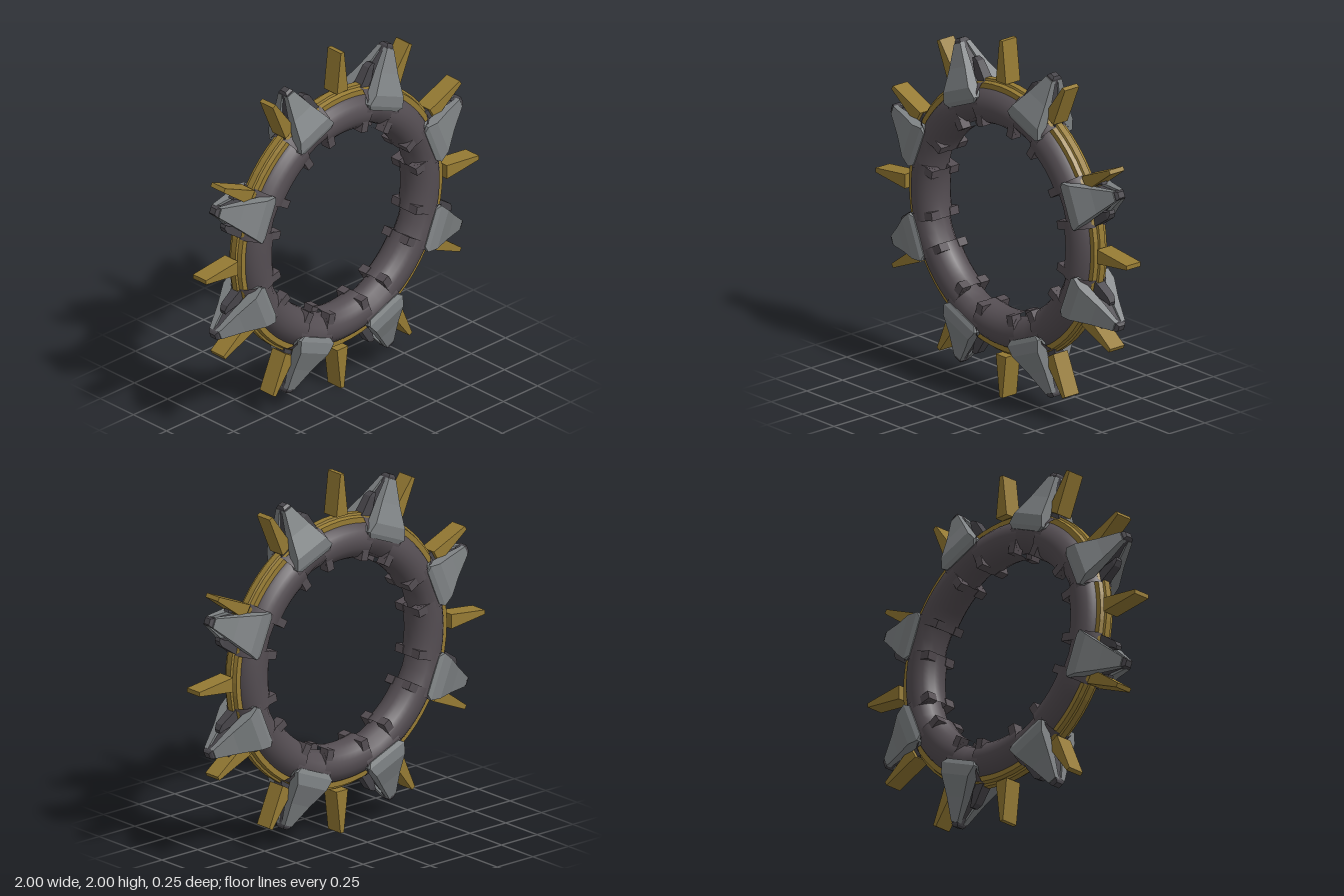
import * as THREE from 'three';

const mat = (name, color) => {
  const m = new THREE.MeshStandardMaterial({ color });
  m.name = name;
  return m;
};

// Solid through rectangular sections [y, x0, x1, z0, z1], listed from bottom to top
function loft(sections) {
  const quads = [];
  const rings = sections.map(([y, x0, x1, z0, z1]) =>
    [[x0, y, z1], [x1, y, z1], [x1, y, z0], [x0, y, z0]]);
  for (let i = 0; i < rings.length - 1; i++) {
    for (let k = 0; k < 4; k++) {
      const n = (k + 1) % 4;
      quads.push([rings[i][k], rings[i][n], rings[i + 1][n], rings[i + 1][k]]);
    }
  }
  const [a, b, c, d] = rings[0];
  quads.push([d, c, b, a], rings[rings.length - 1]);
  const pos = quads.flatMap(([p, q, r, s]) => [p, q, r, p, r, s]).flat();
  const g = new THREE.BufferGeometry();
  g.setAttribute('position', new THREE.Float32BufferAttribute(pos, 3));
  g.computeVertexNormals();
  return g;
}

export function createModel() {
  const tyre = mat('dark ring', 0x544d52);
  const steel = mat('grey plate', 0x7e8284);
  const gold = mat('gold', 0x957a33);
  const iron = mat('dark iron', 0x47454a);

  const model = new THREE.Group();
  const wheel = new THREE.Group();
  wheel.name = 'wheel';
  wheel.position.y = 1;
  model.add(wheel);

  const add = (parent, name, geometry, material) => {
    const m = new THREE.Mesh(geometry, material);
    m.name = name;
    parent.add(m);
    return m;
  };
  // Group whose +y axis points outward at the given angle
  const spoke = (name, angle) => {
    const g = new THREE.Group();
    g.name = name;
    g.rotation.z = angle - Math.PI / 2;
    wheel.add(g);
    return g;
  };

  // Eight smooth ring segments between the claws
  const arc = THREE.MathUtils.degToRad(31);
  const segment = new THREE.TorusGeometry(0.615, 0.105, 20, 8, arc);
  for (let i = 0; i < 8; i++) {
    add(wheel, 'ringSegment', segment, tyre).rotation.z = i * Math.PI / 4 - arc / 2;
  }

  // Gold hoop with a raised middle rib
  const hoopProfile = [
    [0.69, -0.045], [0.738, -0.045], [0.745, -0.022], [0.757, -0.018],
    [0.757, 0.018], [0.745, 0.022], [0.738, 0.045], [0.69, 0.045], [0.69, -0.045],
  ].map(([r, y]) => new THREE.Vector2(r, y));
  const hoopGeometry = new THREE.LatheGeometry(hoopProfile, 64).toNonIndexed();
  hoopGeometry.computeVertexNormals();
  add(wheel, 'goldHoop', hoopGeometry, gold).rotation.x = Math.PI / 2;

  // Twelve gold wedge spikes
  const spike = loft([
    [0.765, -0.04, 0.04, -0.05, 0.05],
    [1.0, -0.012, 0.012, -0.05, 0.05],
  ]);
  for (let i = 0; i < 12; i++) {
    add(spoke('goldSpike', i * Math.PI / 6), 'goldWedge', spike, gold);
  }

  // Claw parts
  const collarArc = THREE.MathUtils.degToRad(22);
  const collar = new THREE.TorusGeometry(0.644, 0.107, 12, 2, collarArc);
  const plate = loft([
    [0.635, -0.105, 0.105, 0.075, 0.112],
    [0.66, -0.13, 0.13, 0.07, 0.122],
    [0.72, -0.108, 0.108, 0.06, 0.124],
    [0.83, -0.068, 0.068, 0.03, 0.078],
    [0.955, -0.026, 0.026, 0.008, 0.036],
  ]);
  const core = loft([
    [0.68, -0.095, 0.095, -0.065, 0.065],
    [0.93, -0.022, 0.022, -0.022, 0.022],
  ]);
  const tip = loft([
    [0.925, -0.028, 0.028, -0.032, 0.032],
    [0.965, -0.024, 0.024, -0.03, 0.03],
    [0.978, -0.016, 0.016, -0.02, 0.02],
  ]);
  const fin = loft([
    [0.71, 0.06, 0.14, -0.03, 0.03],
    [0.84, 0.075, 0.112, -0.024, 0.024],
    [0.865, 0.07, 0.09, -0.018, 0.018],
  ]);
  const strap = new THREE.BoxGeometry(0.045, 0.085, 0.06);

  // Eight claws clamped around the ring
  for (let i = 0; i < 8; i++) {
    const claw = spoke('claw', Math.PI / 8 + i * Math.PI / 4);
    add(claw, 'collar', collar, tyre).rotation.z = Math.PI / 2 - collarArc / 2;
    add(claw, 'clawCore', core, iron);
    add(claw, 'clawTip', tip, iron);
    for (const turn of [0, Math.PI]) {
      add(claw, turn ? 'backPlate' : 'frontPlate', plate, steel).rotation.y = turn;
      add(claw, 'sideFin', fin, iron).rotation.y = turn;
      // Straps that hug the inner edge of the ring on both faces
      for (const s of [-1, 1]) {
        const a = s * 0.165;
        const m = add(claw, 'strap', strap, tyre);
        m.position.set(Math.sin(a) * 0.555, Math.cos(a) * 0.555, turn ? -0.065 : 0.065);
        m.rotation.z = -a;
      }
    }
  }
  return model;
}
